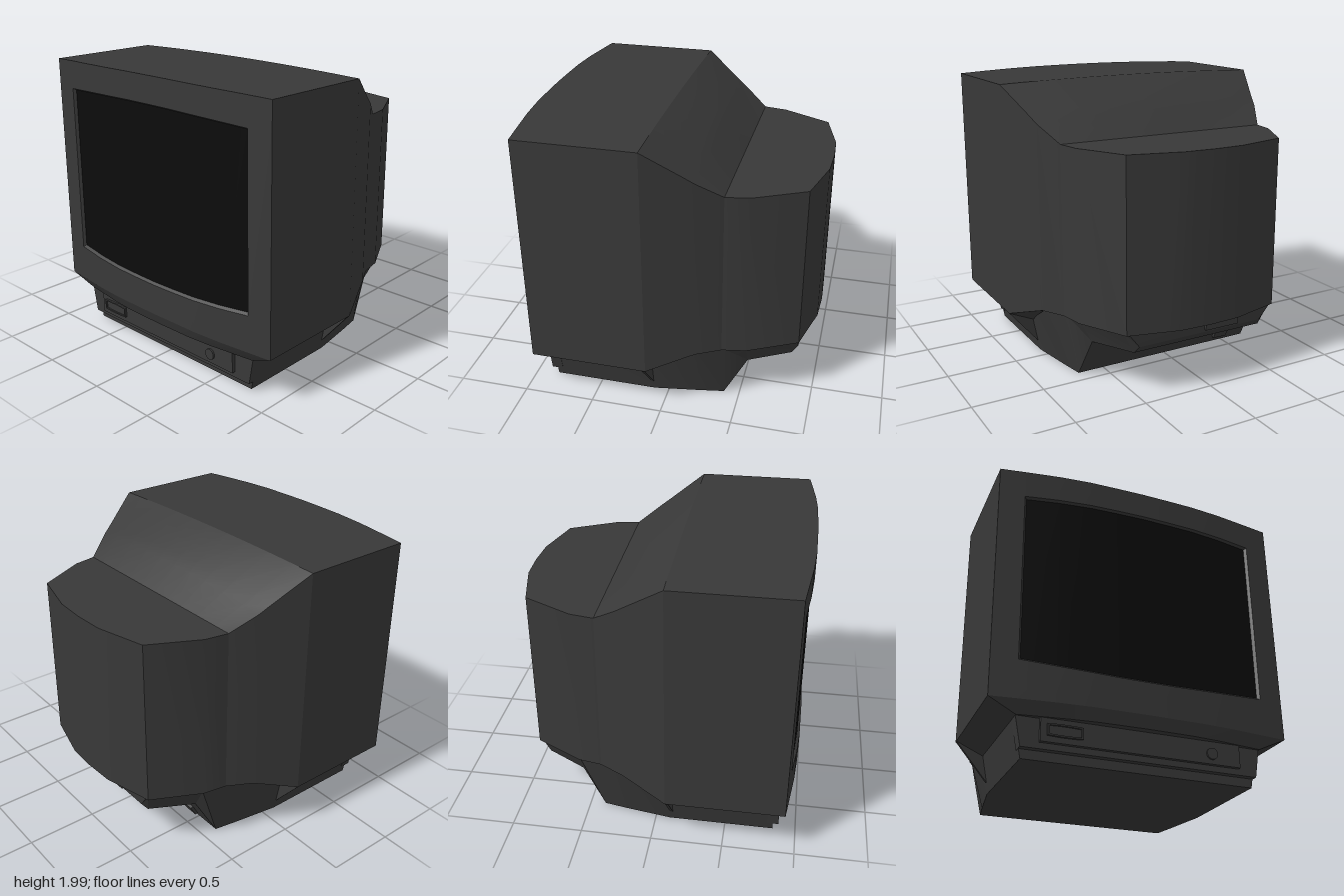
import * as THREE from 'three';
import { toCreasedNormals } from 'three/addons/utils/BufferGeometryUtils.js';

const casing = new THREE.MeshStandardMaterial({ color: 0x383838 });
const glass = new THREE.MeshStandardMaterial({ color: 0x0b0b0b });

// Skin a grid of points: rows of equal length, each point [x, y, z]
function grid(rows, crease = 0.3) {
  const pos = [];
  const tri = (a, b, c) => {
    const area = new THREE.Triangle(...[a, b, c].map(p => new THREE.Vector3(...p))).getArea();
    if (area > 1e-8) pos.push(...a, ...b, ...c);
  };
  for (let i = 0; i < rows.length - 1; i++)
    for (let j = 0; j < rows[i].length - 1; j++) {
      const a = rows[i][j], b = rows[i][j + 1], c = rows[i + 1][j + 1], d = rows[i + 1][j];
      tri(a, b, c);
      tri(a, c, d);
    }
  const geo = new THREE.BufferGeometry();
  geo.setAttribute('position', new THREE.Float32BufferAttribute(pos, 3));
  geo.computeVertexNormals();
  return toCreasedNormals(geo, crease);
}

// Loft rings that run left to right over the top, from front to back, with end caps
function loft(rings) {
  const centre = ring => {
    const n = ring.length - 1;
    const c = [0, 1, 2].map(k => ring.slice(0, n).reduce((s, p) => s + p[k], 0) / n);
    return ring.map(() => c);
  };
  return grid([centre(rings[0]), ...rings, centre(rings.at(-1))]);
}

function lerpTable(table, x) {
  for (let i = 1; i < table.length; i++) {
    const [x0, y0] = table[i - 1], [x1, y1] = table[i];
    if (x <= x1) return y0 + (y1 - y0) * (x - x0) / (x1 - x0);
  }
  return table.at(-1)[1];
}

const frontZ = x => lerpTable([[0, 0.985], [0.38, 0.98], [0.6, 0.965], [1, 0.92]], Math.abs(x));
const backZ = u => lerpTable([[0, -0.99], [0.38, -0.98], [1, -0.89]], Math.abs(u));
const cols = [-1, -0.83, -0.6, -0.38, -0.19, 0, 0.19, 0.38, 0.6, 0.83, 1];

export function createModel() {
  const model = new THREE.Group();
  const add = (name, geo, material = casing, parent = model) => {
    const mesh = new THREE.Mesh(geo, material);
    mesh.name = name;
    parent.add(mesh);
    return mesh;
  };

  // Housing stations: z, half width, top edge, crown, rim height, bottom height, bottom half width
  const stations = [
    [frontZ, 1, 1.965, 0.02, 0.33, 0.25, 0.82],
    [0.1, 1, 1.965, 0.018, 0.33, 0.25, 0.82],
    [-0.15, 0.9, 1.785, 0.045, 0.416, 0.4, 0.8],
    [-0.22, 0.875, 1.735, 0.035, 0.44, 0.44, 0.8],
    [-0.385, 0.785, 1.62, 0, 0.44, 0.44, 0.72],
    [-0.55, 0.755, 1.62, 0, 0.44, 0.44, 0.7],
    [backZ, 0.58, 1.62, 0, 0.44, 0.44, 0.58],
  ];
  const rings = stations.map(([z, w, top, crown, rim, bottom, bw], i) => {
    const at = u => (typeof z === 'number' ? z : z(u));
    const tops = cols.map(u => [u * w, top + crown * (1 - u * u), at(u)]);
    const bottoms = cols.map(u => [u * bw, bottom, at(u) - (i === 0 ? 0.03 : 0)]).reverse();
    return [...tops, [w, rim, at(1)], ...bottoms, [-w, rim, at(1)], tops[0]];
  });
  add('housing', grid(rings));
  const backRow = y => cols.map(u => [-u * 0.58, y, backZ(u)]);
  add('backWall', grid([backRow(0.44), backRow(1.62)]));

  // Bezel around the curved screen opening
  const arc = x => 1 - Math.min(1, (x / 0.83) ** 2);
  const row = (xs, y, inset = 0, sx = 1) => xs.map(x => [x * sx, y(x), frontZ(x) - inset]);
  const low = x => 0.585 - 0.035 * arc(x);
  const high = x => 1.775 + 0.025 * arc(x);
  const bezel = new THREE.Group();
  bezel.name = 'bezel';
  model.add(bezel);
  const chin = cols.map(u => [u * 0.82, 0.25, frontZ(u) - 0.03]);
  add('bezelBottom', grid([chin, row(cols, () => 0.33), row(cols, low)]), casing, bezel);
  add('bezelTop', grid([row(cols, high), row(cols, x => 1.965 + 0.02 * (1 - x * x))]), casing, bezel);
  for (const xs of [cols.slice(0, 2), cols.slice(-2)])
    add('bezelSide', grid([row(xs, low), row(xs, high)]), casing, bezel);

  // Recessed lip and the glass inside it
  const open = cols.slice(1, -1);
  const outer = [...row(open, low), ...row(open, high).reverse()];
  const lowIn = row(open, x => low(x) + 0.014, 0.018, 0.982);
  const highIn = row(open, x => high(x) - 0.01, 0.018, 0.982);
  const inner = [...lowIn, ...[...highIn].reverse()];
  add('screenLip', grid([[...outer, outer[0]], [...inner, inner[0]]]), casing, bezel);
  add('screen', grid([lowIn, highIn], 0.6), glass);

  // Pedestal and rear ledge: z, bottom half width, bottom, top half width, top
  const section = ([z, bw, by, tw, ty]) =>
    [[-tw, ty, z], [tw, ty, z], [bw, by, z], [-bw, by, z], [-tw, ty, z]];
  add('base', loft([
    [0.84, 0.77, 0, 0.82, 0.26],
    [0.1, 0.77, 0, 0.82, 0.26],
    [-0.22, 0.72, 0, 0.85, 0.445],
    [-0.39, 0.69, 0, 0.77, 0.445],
    [-0.55, 0.66, 0.29, 0.74, 0.445],
    [-0.84, 0.5, 0.29, 0.58, 0.445],
    [-0.88, 0.48, 0.34, 0.56, 0.445],
    [-0.89, 0.48, 0.44, 0.56, 0.445],
  ].map(section)));
  add('baseFront', loft([[0.88, 0.785, 0.06, 0.82, 0.255], [0.8, 0.785, 0.06, 0.82, 0.255]].map(section)));

  // Thin gussets between the base and the corners of the housing
  for (const s of [-1, 1]) {
    const fin = new THREE.Shape([[1, 0.33], [0.77, 0.055], [0.77, 0.26]].map(([x, y]) => new THREE.Vector2(s * x, y)));
    add('gusset', new THREE.ExtrudeGeometry(fin, { depth: 0.02, bevelEnabled: false })).position.z = 0.105;
  }

  // Control panel with power button and knob
  const box = (name, w, h, d, x, y, z) => {
    const mesh = add(name, new THREE.BoxGeometry(w, h, d));
    mesh.position.set(x, y, z);
    return mesh;
  };
  box('controlPanel', 1.33, 0.152, 0.05, -0.005, 0.176, 0.88);
  const bulge = (w, h, b) => {
    const s = new THREE.Shape();
    s.moveTo(-w, -h);
    s.quadraticCurveTo(0, -h - b, w, -h);
    s.lineTo(w, h);
    s.quadraticCurveTo(0, h + b, -w, h);
    s.closePath();
    return s;
  };
  const frame = bulge(0.113, 0.036, 0.008);
  frame.holes.push(bulge(0.101, 0.027, 0.006));
  add('buttonFrame', new THREE.ExtrudeGeometry(frame, { depth: 0.02, bevelEnabled: false, curveSegments: 6 }))
    .position.set(-0.517, 0.176, 0.9);
  add('powerButton', new THREE.ExtrudeGeometry(bulge(0.099, 0.025, 0.006), { depth: 0.012, bevelEnabled: false, curveSegments: 6 }))
    .position.set(-0.517, 0.176, 0.9);
  const knob = add('knob', new THREE.CylinderGeometry(0.038, 0.038, 0.03, 20));
  knob.rotation.x = Math.PI / 2;
  knob.position.set(0.46, 0.167, 0.902);

  // Rear sockets
  box('powerSocket', 0.11, 0.09, 0.04, -0.46, 0.09, -0.44).rotation.x = -0.504;
  box('signalSocket', 0.26, 0.06, 0.03, -0.15, 0.39, -0.89);

  return model;
}
